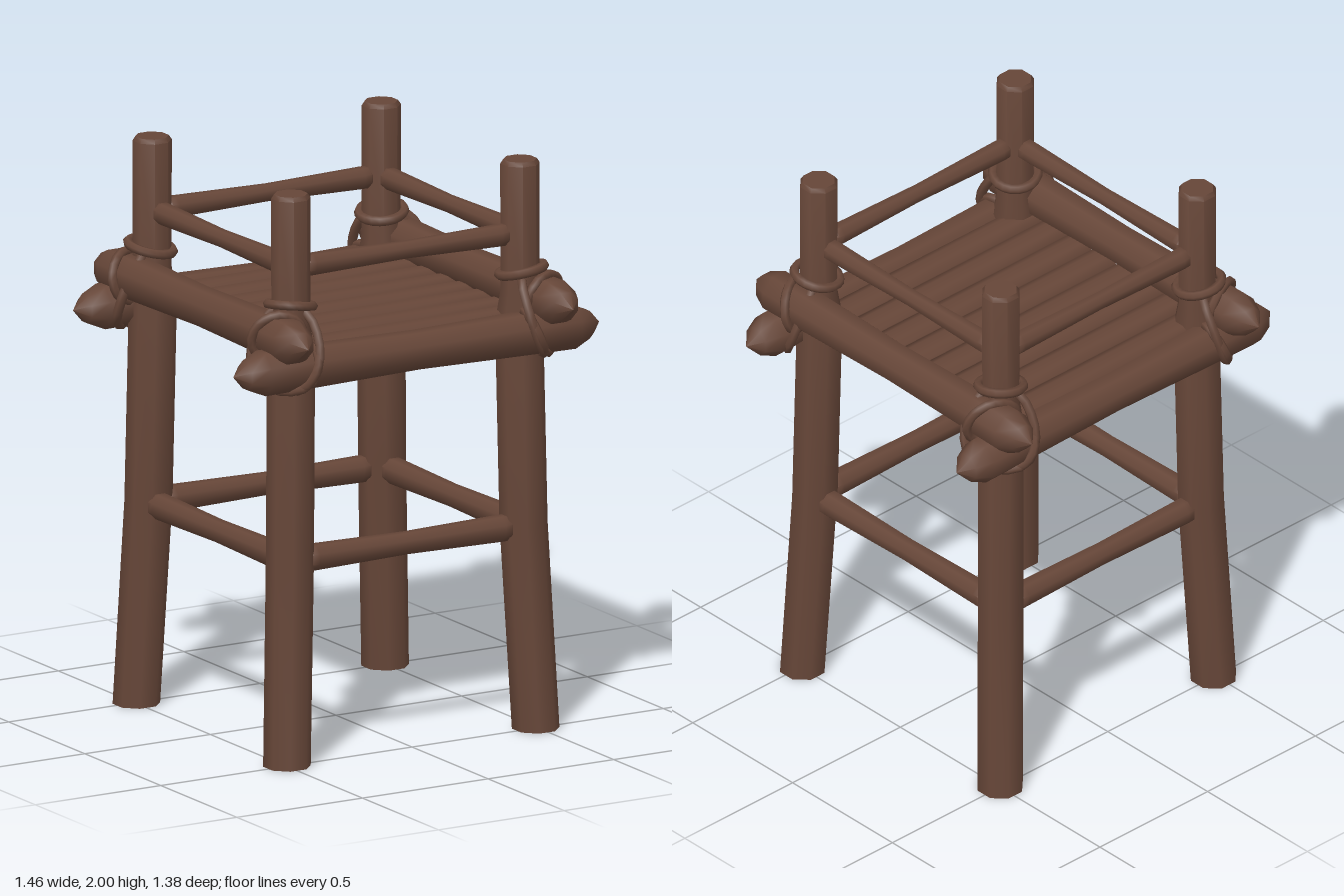
import * as THREE from 'three';
import { toCreasedNormals } from 'three/addons/utils/BufferGeometryUtils.js';

const SIDES = 8;
const wood = new THREE.MeshStandardMaterial({ color: 0x664638 });
wood.name = 'brown wood';

// Turned log along y from [radius, height] pairs, listed bottom to top
function turned(profile) {
  const points = profile.map(([r, y]) => new THREE.Vector2(r, y));
  return new THREE.LatheGeometry(points, SIDES, Math.PI / SIDES);
}

// Symmetric profile: [radius, distance from middle], listed from middle outwards
function mirrored(half) {
  const lower = half.slice(1).reverse().map(([r, y]) => [r, -y]);
  return [...lower, ...half];
}

export function createModel() {
  const model = new THREE.Group();
  model.name = 'woodenPlatform';

  function add(name, geometry, x = 0, y = 0, z = 0, parent = model) {
    const mesh = new THREE.Mesh(geometry, wood);
    mesh.name = name;
    mesh.position.set(x, y, z);
    parent.add(mesh);
    return mesh;
  }

  // Closed rope through a few points
  function rope(name, points, parent) {
    const curve = new THREE.CatmullRomCurve3(points, true);
    add(name, new THREE.TubeGeometry(curve, 20, 0.017, 6, true), 0, 0, 0, parent);
  }

  // Points of a tilted ring: u and v span its plane
  function ring(center, u, v) {
    return Array.from({ length: 8 }, (_, i) => {
      const a = (i / 8) * Math.PI * 2;
      return center.clone().addScaledVector(u, Math.cos(a)).addScaledVector(v, Math.sin(a));
    });
  }
  const V = (x, y, z) => new THREE.Vector3(x, y, z);

  // Splayed posts: each level is [radius, height, distance from the middle]
  const levels = [
    [0, 0, 0.495], [0.082, 0, 0.495], [0.083, 0.72, 0.465], [0.083, 1.43, 0.454],
    [0.067, 1.54, 0.456], [0.068, 1.985, 0.456], [0.058, 2, 0.456], [0, 2, 0.456],
  ];
  for (const sx of [-1, 1]) {
    for (const sz of [-1, 1]) {
      const geometry = turned(levels);
      const p = geometry.attributes.position;
      for (let i = 0; i < p.count; i++) {
        const offset = levels[i % levels.length][2];
        p.setX(i, p.getX(i) + sx * offset);
        p.setZ(i, p.getZ(i) + sz * offset);
      }
      add('post', toCreasedNormals(geometry, 0.9));

      // Rope lashings at the corner
      const corner = new THREE.Group();
      corner.name = 'cornerLashing';
      model.add(corner);
      rope('postRope', ring(V(sx * 0.46, 1.61, sz * 0.46),
        V(0.078, sx * 0.012, 0), V(0, sz * 0.012, 0.078)), corner);
      rope('sideBeamRope', ring(V(sx * 0.53, 1.51, sz * 0.49),
        V(0.083, 0, -sx * sz * 0.035), V(0, 0.083, sz * 0.02)), corner);
      rope('crossBeamRope', ring(V(sx * 0.465, 1.405, sz * 0.53),
        V(sx * 0.035, -0.077, 0), V(-sx * sz * 0.02, 0, 0.078)), corner);
      rope('diagonalRope', [
        V(sx * 0.43, 1.59, sz * 0.51), V(sx * 0.42, 1.47, sz * 0.59),
        V(sx * 0.46, 1.36, sz * 0.595), V(sx * 0.53, 1.33, sz * 0.53),
        V(sx * 0.595, 1.37, sz * 0.46), V(sx * 0.59, 1.47, sz * 0.42),
        V(sx * 0.51, 1.59, sz * 0.43),
      ], corner);
    }
  }

  // Four pointed beams, thinner in the middle
  const beam = (tip) => toCreasedNormals(turned(mirrored([
    [0.069, 0], [0.077, 0.42], [0.08, tip - 0.11], [0.052, tip - 0.048], [0, tip],
  ])), 0.9);
  // Railing bars, pinched in the middle, with chamfered ends
  const bar = (mid, end) => toCreasedNormals(turned(mirrored([
    [mid, 0], [end, 0.37], [end, 0.395], [end * 0.6, 0.415], [0, 0.415],
  ])), 0.9);

  for (const s of [-1, 1]) {
    add('crossBeam', beam(0.728), 0, 1.405, s * 0.527).rotation.z = Math.PI / 2;
    add('sideBeam', beam(0.69), s * 0.527, 1.51, 0).rotation.x = Math.PI / 2;
    for (const [name, y, offset, mid, end] of [
      ['topRail', 1.74, 0.452, 0.031, 0.039],
      ['lowerRail', 0.712, 0.465, 0.04, 0.047],
    ]) {
      add(name, bar(mid, end), 0, y, s * offset).rotation.z = Math.PI / 2;
      add(name, bar(mid, end), s * offset, y, 0).rotation.x = Math.PI / 2;
    }
  }

  // Floor of flattened poles
  for (let i = 0; i < 8; i++) {
    const pole = toCreasedNormals(
      turned(mirrored([[0.063, 0], [0.063, 0.49], [0, 0.49]])).scale(0.42, 1, 1), 1.2);
    add('floorPole', pole, 0, 1.445, -0.437 + i * 0.121).rotation.z = Math.PI / 2;
  }

  return model;
}
